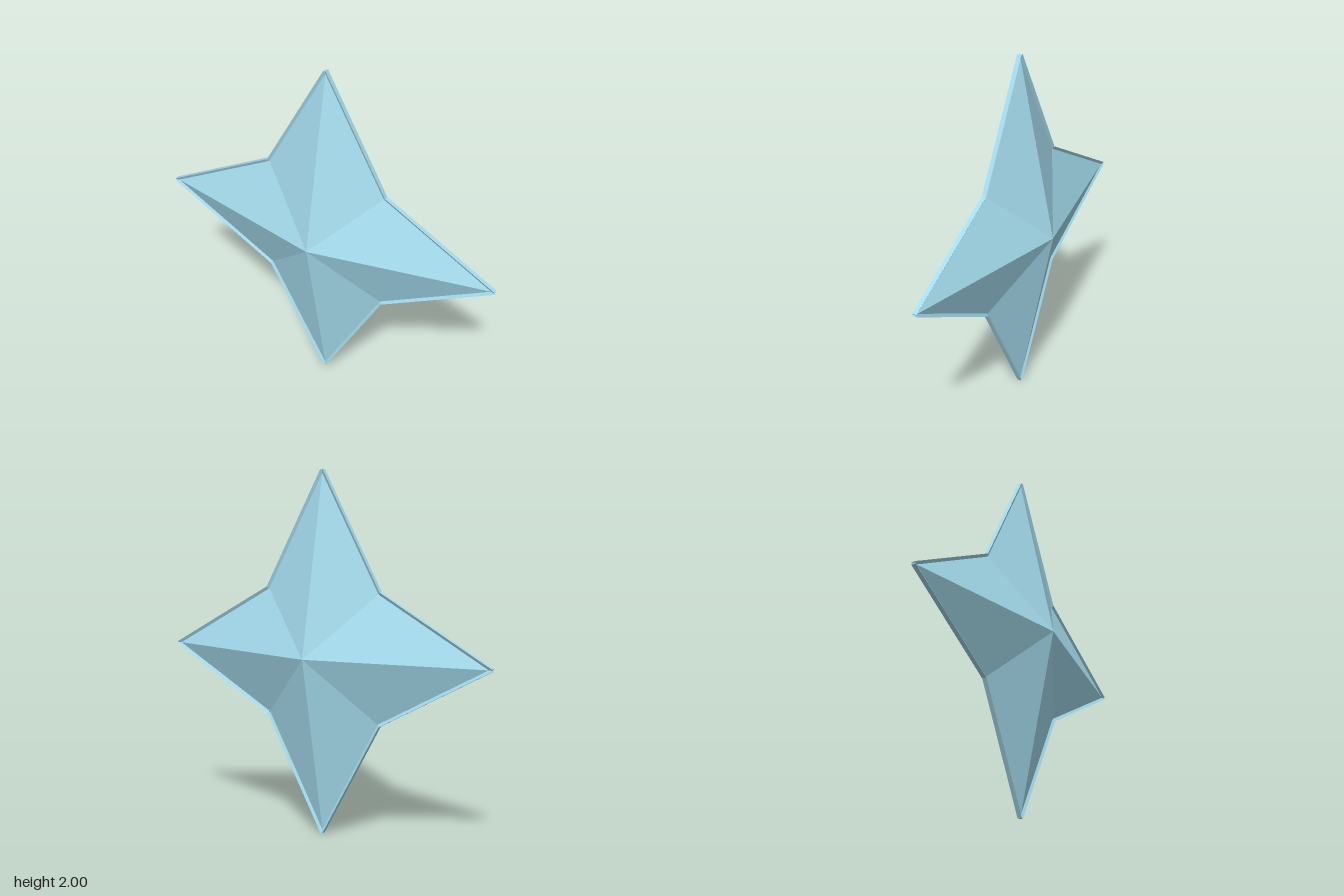
import * as THREE from 'three';

const TIP = 0.9966, NOTCH = 0.5, DEPTH = 0.205, RAIL = 0.0145;

export function createModel() {
  const model = new THREE.Group();
  model.name = 'fourPointStar';
  const material = new THREE.MeshStandardMaterial({ color: 0xa5dcee, flatShading: true });

  // Star outline, counter-clockwise: tips and notches alternate
  const outline = [];
  for (let i = 0; i < 8; i++) {
    const a = i * Math.PI / 4, r = i % 2 ? NOTCH : TIP;
    outline.push(new THREE.Vector3(Math.cos(a) * r, Math.sin(a) * r, 0));
  }

  // Faceted body: a front and a back apex joined to the outline
  const points = [...outline, new THREE.Vector3(0, 0, DEPTH), new THREE.Vector3(0, 0, -DEPTH)];
  const index = [];
  for (let i = 0; i < 8; i++) {
    const j = (i + 1) % 8;
    index.push(8, i, j, 9, j, i);
  }
  const indexed = new THREE.BufferGeometry().setFromPoints(points);
  indexed.setIndex(index);
  const bodyGeometry = indexed.toNonIndexed();
  bodyGeometry.computeVertexNormals();
  const body = new THREE.Mesh(bodyGeometry, material);
  body.name = 'facetedBody';
  model.add(body);

  // Three-sided rails along the edges, flat side outward
  const rim = new THREE.Group();
  rim.name = 'rim';
  const length = outline[0].distanceTo(outline[1]);
  const railGeometry = new THREE.CylinderGeometry(RAIL, RAIL, length, 3);
  for (let i = 0; i < 8; i++) {
    const a = outline[i], b = outline[(i + 1) % 8];
    const along = b.clone().sub(a).normalize();
    const inward = new THREE.Vector3(-along.y, along.x, 0);
    const across = along.clone().cross(inward);
    const rail = new THREE.Mesh(railGeometry, material);
    rail.name = 'edgeRail';
    rail.quaternion.setFromRotationMatrix(new THREE.Matrix4().makeBasis(across, along, inward));
    rail.position.copy(a).add(b).multiplyScalar(0.5);
    rim.add(rail);
  }
  model.add(rim);

  for (const part of model.children) part.position.y = 1;
  return model;
}
